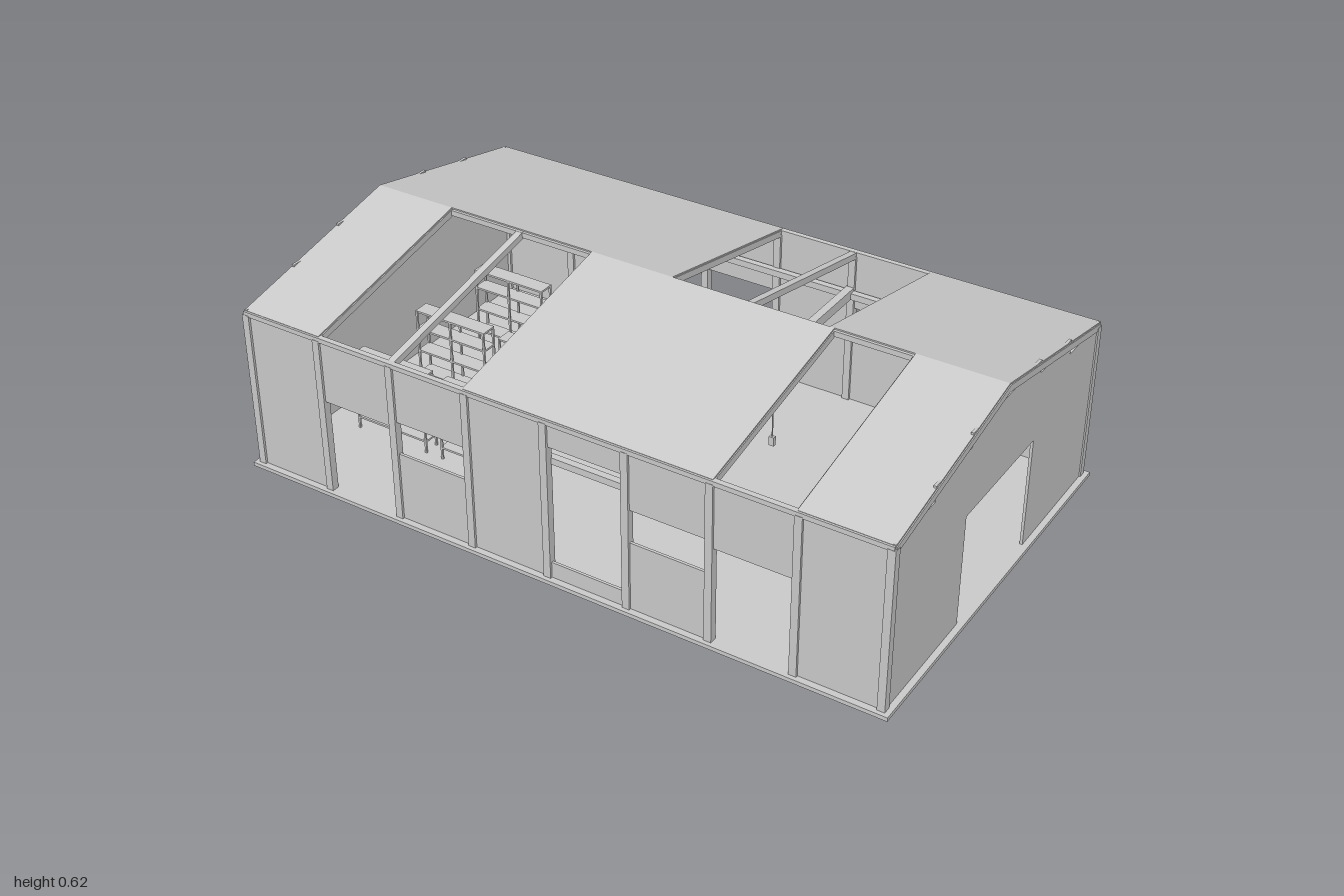
import * as THREE from 'three';

const EAVE = 0.503, RIDGE = 0.625, DEPTH = 0.588, BAY = 0.2438;
const bayX = i => (i - 4) * BAY;

export function createModel() {
  const model = new THREE.Group();
  model.name = 'warehouse';
  const grey = new THREE.MeshStandardMaterial({ color: 0xcccccc });
  grey.name = 'light grey';

  // Box given by its limits on each axis
  function box(name, x0, x1, y0, y1, z0, z1, parent = model) {
    const mesh = new THREE.Mesh(new THREE.BoxGeometry(x1 - x0, y1 - y0, Math.abs(z1 - z0)), grey);
    mesh.position.set((x0 + x1) / 2, (y0 + y1) / 2, (z0 + z1) / 2);
    mesh.name = name;
    parent.add(mesh);
    return mesh;
  }

  // Sloping member from ridge to eave; its top lies `drop` below the roof line
  function slope(name, x0, x1, side, thick, drop) {
    const shape = new THREE.Shape([
      new THREE.Vector2(0, RIDGE - drop), new THREE.Vector2(0, RIDGE - drop - thick),
      new THREE.Vector2(DEPTH, EAVE - drop - thick), new THREE.Vector2(DEPTH, EAVE - drop),
    ]);
    const geo = new THREE.ExtrudeGeometry(shape, { depth: x1 - x0, bevelEnabled: false });
    const mesh = new THREE.Mesh(geo, grey);
    mesh.name = name;
    // Local x runs down the slope, extrusion runs along the building
    mesh.rotation.y = side > 0 ? -Math.PI / 2 : Math.PI / 2;
    mesh.position.x = side > 0 ? x1 : x0;
    model.add(mesh);
  }

  // Floor slab
  box('floorSlab', -1, 1, 0, 0.012, -0.607, 0.607);

  // Long walls: vertical ranges filled by each kind of bay
  const fills = {
    solid: [[0.012, 0.497]],
    window: [[0.012, 0.22], [0.32, 0.497]],
    door: [[0.3, 0.497]],
    gate: [[0.012, 0.06], [0.42, 0.497]],
  };
  const walls = [
    [1, 'frontWall', ['solid', 'door', 'window', 'solid', 'gate', 'window', 'door', 'solid']],
    [-1, 'backWall', ['window', 'solid', 'gate', 'door', 'solid', 'window', 'solid', 'gate']],
  ];
  for (const [side, name, kinds] of walls) {
    kinds.forEach((kind, i) => fills[kind].forEach(([y0, y1]) =>
      box(name + 'Panel', bayX(i), bayX(i + 1), y0, y1, side * 0.58, side * 0.588)));
    // Posts between the bays, eave beam and crane runway
    for (let i = 0; i <= 8; i++)
      box('wallPost', bayX(i) - 0.011, bayX(i) + 0.011, 0.012, 0.492, side * 0.572, side * 0.595);
    box('eaveBeam', -0.982, 0.982, 0.488, 0.502, side * 0.578, side * 0.594);
    box('craneRunway', -0.965, 0.965, 0.36, 0.38, side * 0.555, side * 0.575);
  }

  // Stepped end walls: [z0, z1, y0, y1]
  const steps = [
    [-0.588, -0.39, 0.012, 0.505], [-0.39, -0.197, 0.012, 0.55],
    [0.39, 0.588, 0.012, 0.505],
  ];
  const endWalls = [
    [1, 'rightEndWall', [[0.197, 0.39, 0.012, 0.55], [-0.197, 0.197, 0.345, 0.59]]],
    [-1, 'leftEndWall', [[0.197, 0.39, 0.012, 0.115], [0.197, 0.39, 0.175, 0.55],
      [-0.197, 0.197, 0.012, 0.59]]],
  ];
  for (const [side, name, extra] of endWalls)
    for (const [z0, z1, y0, y1] of [...steps, ...extra])
      box(name + 'Panel', side * 0.978 - 0.004, side * 0.978 + 0.004, y0, y1, z0, z1);

  // Rafters on every frame
  for (let i = 0; i <= 8; i++)
    for (const side of [1, -1]) slope('rafter', bayX(i) - 0.01, bayX(i) + 0.01, side, 0.02, 0.004);
  box('ridgeBeam', -0.975, 0.975, 0.604, 0.62, -0.007, 0.007);

  // Roof sheets, leaving some bays open: [side, first bay, end bay]
  for (const [side, a, b] of [[1, 0, 1], [1, 3, 6], [1, 7, 8], [-1, 0, 4], [-1, 6, 8]])
    slope('roofSheet', bayX(a) - 0.007, bayX(b) + 0.007, side, 0.004, 0);

  // Storage racks
  for (const z of [-0.285, 0, 0.285])
    for (const x of [-0.74, -0.4425]) {
      const rack = new THREE.Group();
      rack.name = 'storageRack';
      rack.position.set(x, 0, z);
      for (const px of [-0.12, 0, 0.12])
        for (const pz of [-0.023, 0.023])
          box('rackUpright', px - 0.003, px + 0.003, 0.012, 0.26, pz - 0.003, pz + 0.003, rack);
      for (const y of [0.05, 0.125, 0.2, 0.258])
        box('rackShelf', -0.123, 0.123, y - 0.004, y + 0.002, -0.025, 0.025, rack);
      model.add(rack);
    }

  // Travelling crane with hoist and hanging control
  box('craneBridge', 0.23, 0.254, 0.36, 0.39, -0.575, 0.575);
  box('hoist', 0.21, 0.272, 0.33, 0.36, -0.186, -0.108);
  const cable = new THREE.Mesh(new THREE.CylinderGeometry(0.002, 0.002, 0.215, 8), grey);
  cable.name = 'controlCable';
  cable.position.set(0.242, 0.2275, -0.146);
  model.add(cable);
  box('controlPendant', 0.234, 0.25, 0.092, 0.12, -0.152, -0.14);

  return model;
}
